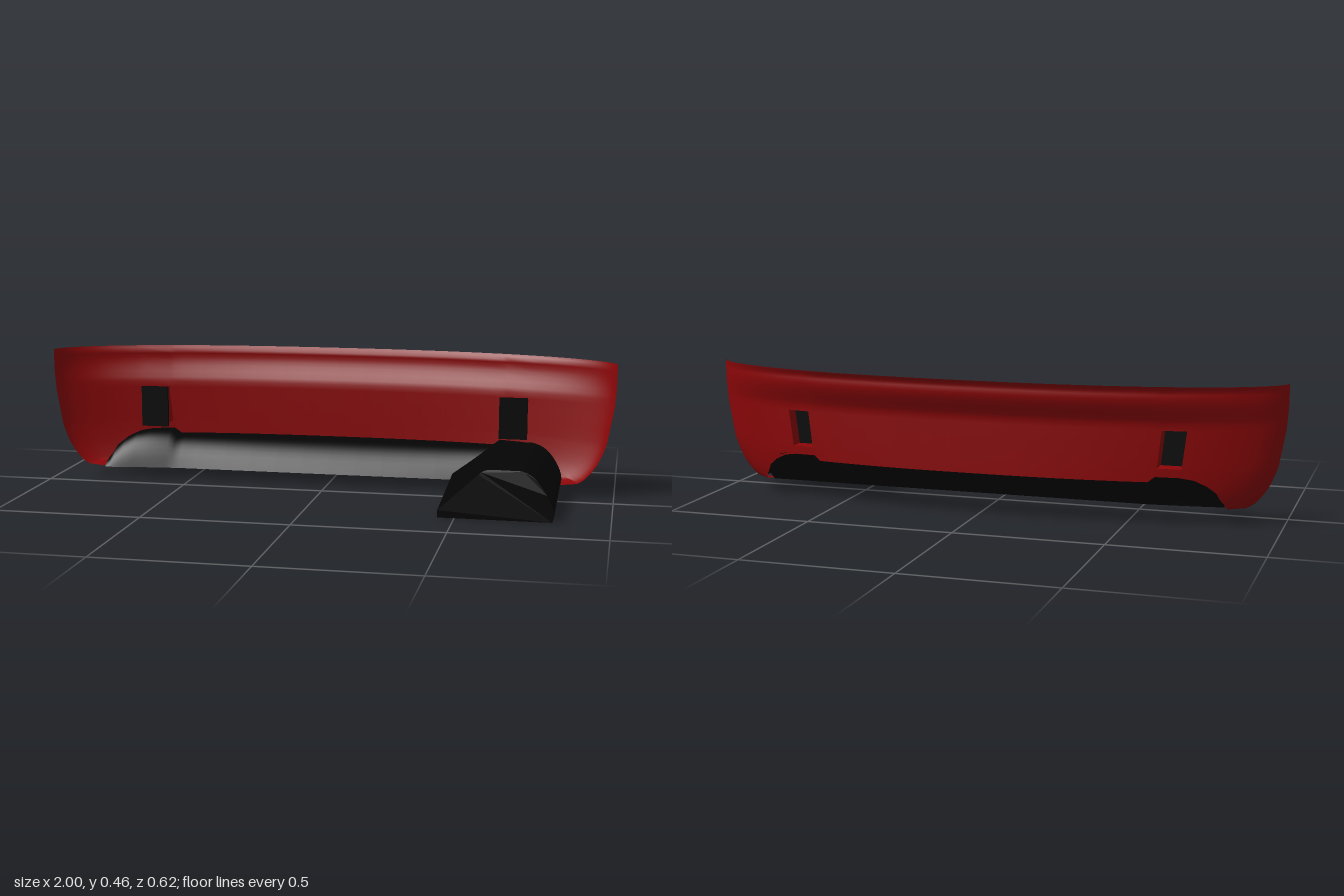
import * as THREE from 'three';

const red = new THREE.MeshStandardMaterial({ color: 0x8c0608, side: THREE.DoubleSide });
const black = new THREE.MeshStandardMaterial({ color: 0x040404, side: THREE.DoubleSide });

// Piecewise linear lookup in [key, value] pairs
function lookup(pairs, k) {
  if (k <= pairs[0][0]) return pairs[0][1];
  for (let i = 1; i < pairs.length; i++) {
    const [a, va] = pairs[i - 1], [b, vb] = pairs[i];
    if (k <= b) return va + (vb - va) * (k - a) / (b - a);
  }
  return pairs[pairs.length - 1][1];
}

// Shell rules: half width, depth of the middle, and lower edge
const widthAt = [[0.045, 0.868], [0.05, 0.88], [0.06, 0.897], [0.085, 0.92], [0.11, 0.938], [0.15, 0.958],
  [0.19, 0.972], [0.315, 0.994], [0.38, 0.999], [0.463, 1]];
const depthAt = [[0.145, 0.192], [0.335, 0.192], [0.36, 0.203], [0.39, 0.22], [0.42, 0.23], [0.445, 0.227],
  [0.455, 0.236], [0.463, 0.241]];
const lowerEdge = [[0.6, 0.145], [0.62, 0.163], [0.7, 0.161], [0.75, 0.153], [0.8, 0.133], [0.84, 0.11],
  [0.87, 0.085], [0.9, 0.067], [0.943, 0.056], [1, 0.048]];

function shellPoint(u, y) {
  const g = Math.pow(Math.max(0, 1 - Math.pow(Math.abs(u), 2.4)), 0.6);
  return new THREE.Vector3(u * lookup(widthAt, y), y, -0.07 - lookup(depthAt, y) * g);
}

// Surface through a grid of points; skip(i, j) leaves a cell open
function sheet(nu, nv, pointAt, skip = () => false) {
  const positions = [], index = [];
  for (let j = 0; j < nv; j++)
    for (let i = 0; i < nu; i++) positions.push(...pointAt(i, j).toArray());
  for (let j = 0; j < nv - 1; j++)
    for (let i = 0; i < nu - 1; i++) {
      if (skip(i, j)) continue;
      const a = j * nu + i, b = a + 1, c = a + nu, d = c + 1;
      index.push(a, c, b, b, c, d);
    }
  const geometry = new THREE.BufferGeometry();
  geometry.setAttribute('position', new THREE.Float32BufferAttribute(positions, 3));
  geometry.setIndex(index);
  geometry.computeVertexNormals();
  return geometry;
}

function add(group, name, geometry, material) {
  const mesh = new THREE.Mesh(geometry, material);
  mesh.name = name;
  group.add(mesh);
  return mesh;
}

export function createModel() {
  const model = new THREE.Group();
  model.name = 'bumper';

  // Curved shell with two window openings
  const half = [0.1, 0.2, 0.3, 0.4, 0.5, 0.57, 0.6, 0.62, 0.7, 0.75, 0.8, 0.84, 0.87, 0.9,
    0.925, 0.943, 0.96, 0.975, 0.985, 0.993, 0.998, 1];
  const us = [...half.map(u => -u).reverse(), 0, ...half];
  const lowRows = 8, windowBottom = 0.19, windowTop = 0.315;
  const ys = [windowBottom, 0.23, 0.27, windowTop, 0.335, 0.35, 0.37, 0.39, 0.405, 0.42, 0.435, 0.445, 0.455, 0.463];
  const isWindow = (i, j) => {
    const u = Math.abs((us[i] + us[i + 1]) / 2);
    return u > 0.62 && u < 0.7 && j >= lowRows && j < lowRows + 3;
  };
  const lowPoint = u => shellPoint(u, lookup(lowerEdge, Math.abs(u)));
  add(model, 'bumperShell', sheet(us.length, lowRows + ys.length, (i, j) => {
    const low = lookup(lowerEdge, Math.abs(us[i]));
    const y = j < lowRows ? low + (windowBottom - low) * Math.pow(j / lowRows, 1.6) : ys[j - lowRows];
    return shellPoint(us[i], y);
  }, isWindow), red);

  // Inward lips under both shell tips
  const tipUs = half.filter(u => u >= 0.9);
  for (const side of [-1, 1]) {
    add(model, side > 0 ? 'leftTipLip' : 'rightTipLip', sheet(tipUs.length, 2, (i, j) => {
      const p = lowPoint(side * tipUs[i]);
      if (j) p.set(side * Math.min(0.82, Math.abs(p.x)), p.y - 0.006, p.z);
      return p;
    }), red);
  }

  // Domed lower panel from the shell's lower edge to a straight front edge
  const panelUs = us.filter(u => Math.abs(u) < 0.91);
  const steps = 12;
  add(model, 'lowerPanel', sheet(panelUs.length, steps + 1, (i, j) => {
    const t = j / steps;
    const p = lowPoint(panelUs[i]);
    const front = lookup([[0.55, -0.09], [0.7, -0.075], [0.8, -0.06]], Math.abs(p.x));
    p.z += (front - p.z) * t;
    p.y = 0.04 + (p.y - 0.04) * (1 - Math.pow(t, 3));
    return p;
  }), black);

  // Forward arm: flat-topped section whose base drops towards the front
  const section = new THREE.Shape();
  section.moveTo(0.445, 0);
  section.lineTo(0.445, 0.025);
  section.lineTo(0.575, 0.145);
  section.quadraticCurveTo(0.59, 0.162, 0.62, 0.162);
  section.lineTo(0.71, 0.161);
  section.quadraticCurveTo(0.755, 0.155, 0.79, 0.1);
  section.quadraticCurveTo(0.822, 0.05, 0.82, 0.02);
  section.lineTo(0.815, 0);
  const arm = new THREE.ExtrudeGeometry(section, { depth: 1, bevelEnabled: false, curveSegments: 8, steps: 8 });
  const pos = arm.attributes.position;
  for (let i = 0; i < pos.count; i++) {
    const h = pos.getY(i) / 0.162, t = pos.getZ(i);
    const back = -0.085 - 0.115 * h;
    const front = 0.307 + 0.02 * h * (1 - h) - 0.015 * h * h * h;
    const z = back + (front - back) * t;
    pos.setZ(i, z);
    pos.setY(i, pos.getY(i) + 0.04 * (1 - h) * (0.307 - z) / 0.4);
  }
  arm.computeVertexNormals();
  add(model, 'forwardArm', arm, black);

  // Window pockets: four red walls closed by a black plate
  for (const side of [-1, 1]) {
    const pocket = new THREE.Group();
    pocket.name = side > 0 ? 'leftPocket' : 'rightPocket';
    const rim = [[0.62, windowBottom], [0.7, windowBottom], [0.7, windowTop], [0.62, windowTop], [0.62, windowBottom]];
    for (let k = 0; k < 4; k++) {
      add(pocket, 'pocketWall', sheet(2, 2, (i, j) => {
        const p = shellPoint(side * rim[k + i][0], rim[k + i][1]);
        if (j) p.z = -0.155;
        return p;
      }), red);
    }
    const plate = add(pocket, 'pocketPlate', new THREE.BoxGeometry(0.098, 0.145, 0.012), black);
    plate.position.set(side * 0.648, 0.2525, -0.152);
    model.add(pocket);
  }
  return model;
}
